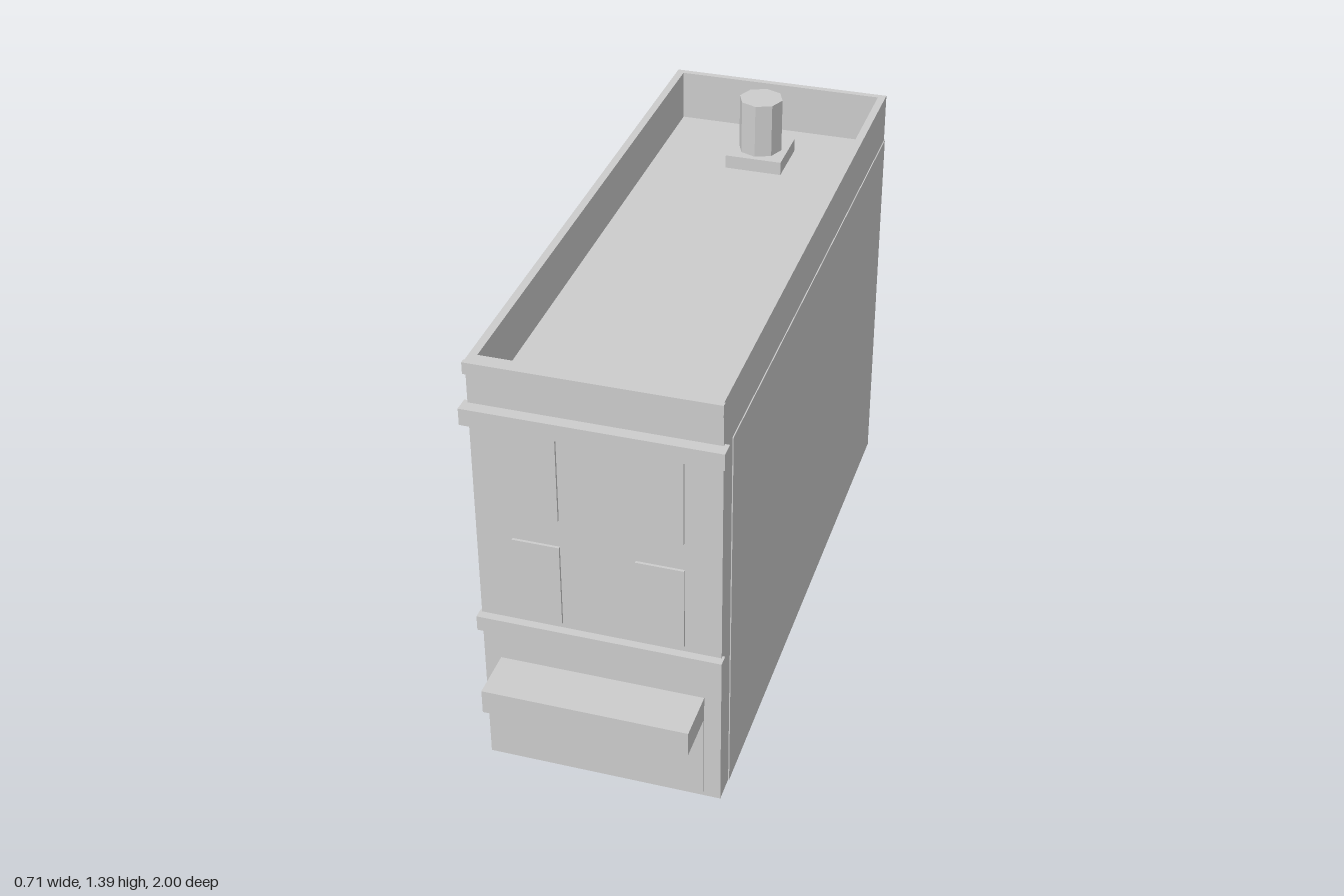
import * as THREE from 'three';

export function createModel() {
  const group = new THREE.Group();
  const grey = new THREE.MeshStandardMaterial({ color: 0xcccccc });
  grey.name = 'plain grey';

  const add = (name, geometry) => {
    const mesh = new THREE.Mesh(geometry, grey);
    mesh.name = name;
    group.add(mesh);
    return mesh;
  };
  // Box given by its minimum and maximum on each axis
  const box = (name, x0, x1, y0, y1, z0, z1) => {
    const mesh = add(name, new THREE.BoxGeometry(x1 - x0, y1 - y0, z1 - z0));
    mesh.position.set((x0 + x1) / 2, (y0 + y1) / 2, (z0 + z1) / 2);
    return mesh;
  };

  const W = 0.343, ROOF = 1.175, TOP = 1.33, BACK = -0.99, FRONT = 0.85;

  // Main block, its top face is the sunken roof
  box('buildingBody', -W, W, 0, ROOF, BACK, FRONT);

  // Parapet ring around the roof
  const ring = new THREE.Shape([
    new THREE.Vector2(-W, -FRONT), new THREE.Vector2(W, -FRONT),
    new THREE.Vector2(W, -BACK), new THREE.Vector2(-W, -BACK),
  ]);
  ring.holes.push(new THREE.Path([
    new THREE.Vector2(-0.32, -0.82), new THREE.Vector2(-0.32, 0.97),
    new THREE.Vector2(0.32, 0.97), new THREE.Vector2(0.32, -0.82),
  ]));
  const parapet = add('parapet', new THREE.ExtrudeGeometry(ring, { depth: TOP - ROOF, bevelEnabled: false }));
  parapet.rotation.x = -Math.PI / 2;
  parapet.position.y = ROOF;

  // Thin cladding on the sides and upper back wall
  for (const s of [-1, 1]) {
    const x = s * W;
    box('sideCladding', Math.min(x, x + s * 0.003), Math.max(x, x + s * 0.003), 0, ROOF, BACK, 0.77);
  }
  box('backCladding', -W, W, 0.42, ROOF, -0.995, BACK);

  // Front mouldings
  box('parapetLip', -0.346, 0.346, 1.295, TOP, FRONT, 0.865);
  box('upperCornice', -0.356, 0.356, 1.15, 1.2, 0.84, 0.885);
  box('lowerCornice', -0.35, 0.35, 0.465, 0.512, 0.84, 0.875);

  // Shopfront and awning
  box('shopfront', -0.295, 0.295, 0.015, 0.285, FRONT, 0.856);
  box('awning', -0.295, 0.295, 0.285, 0.36, FRONT, 1);

  // Windows on two floors, front and back
  for (const s of [-1, 1]) {
    const x0 = s * 0.173 - 0.067, x1 = s * 0.173 + 0.067;
    for (const y of [0.53, 0.875]) {
      box('frontWindow', x0, x1, y, y + 0.257, FRONT, 0.858);
      box('backWindow', x0, x1, y + 0.053, y + 0.213, -1, -0.995);
    }
  }

  // Roof vent
  box('ventBase', -0.088, 0.088, ROOF, 1.217, -0.833, -0.66);
  const vent = add('ventPipe', new THREE.CylinderGeometry(0.068, 0.068, 0.17, 8).toNonIndexed());
  vent.geometry.computeVertexNormals();
  vent.position.set(0, 1.301, -0.745);

  return group;
}
